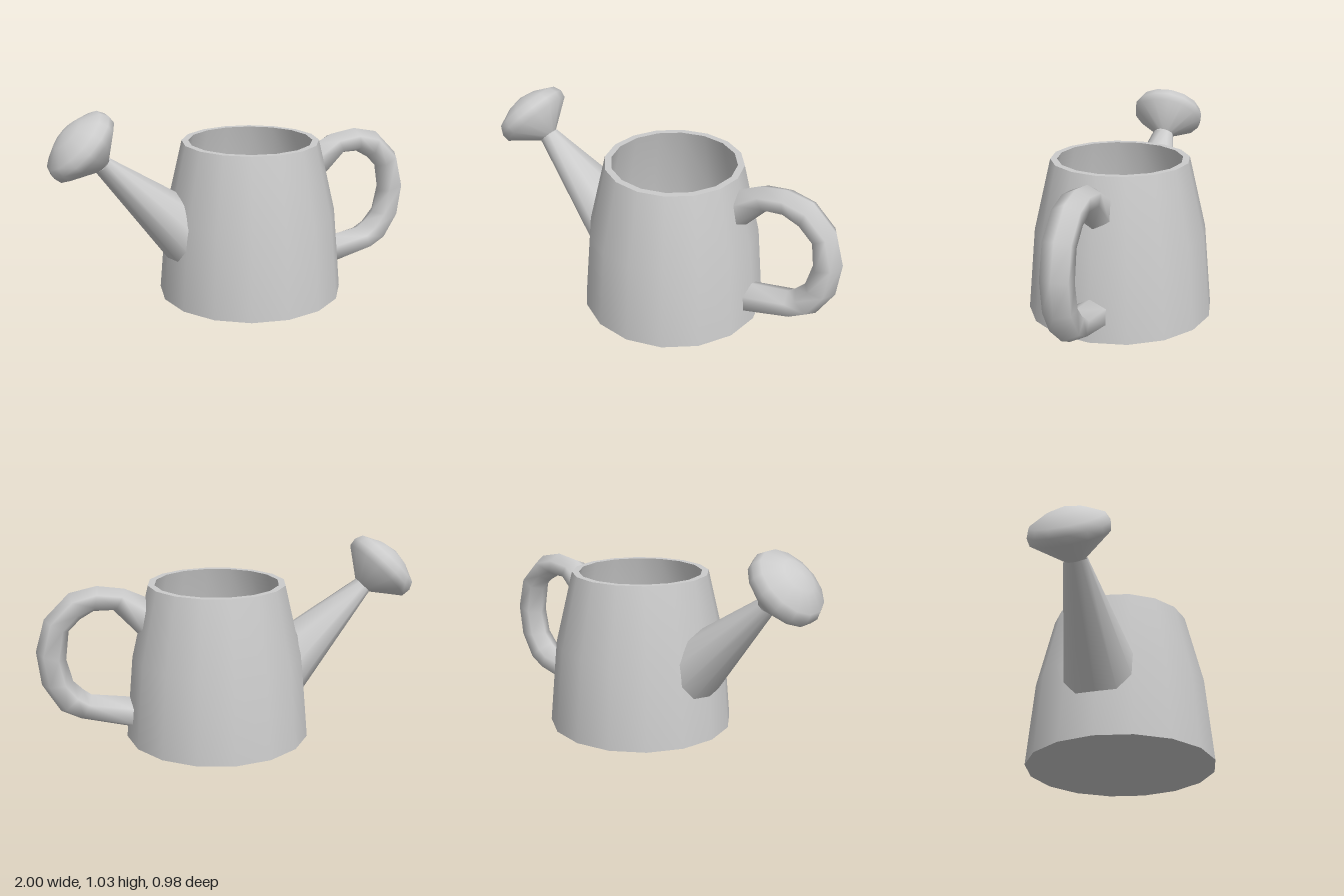
import * as THREE from 'three';
import { toCreasedNormals } from 'three/addons/utils/BufferGeometryUtils.js';

const material = new THREE.MeshStandardMaterial({ color: 0xcccccc, side: THREE.DoubleSide });

function part(name, geometry) {
  const mesh = new THREE.Mesh(geometry, material);
  mesh.name = name;
  return mesh;
}

function lathe(profile, sides) {
  return new THREE.LatheGeometry(profile.map(([r, y]) => new THREE.Vector2(r, y)), sides);
}

// Skin over elliptical sections, each given by its upper/outer and lower/inner
// point in the xy plane and its half width in z.
function loft(sections, sides, zSign) {
  const positions = [], index = [];
  sections.forEach(([ox, oy, ix, iy, halfWidth], i) => {
    for (let j = 0; j < sides; j++) {
      const a = (j / sides) * Math.PI * 2;
      const c = Math.cos(a) / 2;
      positions.push(
        (ox + ix) / 2 + (ox - ix) * c,
        (oy + iy) / 2 + (oy - iy) * c,
        zSign * halfWidth * Math.sin(a));
      if (i === sections.length - 1) continue;
      const p = i * sides + j, q = i * sides + (j + 1) % sides;
      index.push(p, q, q + sides, p, q + sides, p + sides);
    }
  });
  const geometry = new THREE.BufferGeometry();
  geometry.setAttribute('position', new THREE.Float32BufferAttribute(positions, 3));
  geometry.setIndex(index);
  geometry.computeVertexNormals();
  return geometry;
}

export function createModel() {
  const group = new THREE.Group();
  group.name = 'wateringCan';

  // Hollow tapering body with a closed floor and a thick rim
  const body = part('body', toCreasedNormals(lathe([
    [0, 0], [0.49, 0], [0.45, 0.44], [0.36, 0.82],
    [0.325, 0.82], [0.415, 0.44], [0.455, 0.04], [0, 0.04],
  ], 16), 0.7));
  body.position.x = 0.06;
  group.add(body);

  // Six-sided looped handle
  group.add(part('handle', loft([
    [0.43, 0.76, 0.47, 0.56, 0.092],
    [0.54, 0.81, 0.60, 0.70, 0.085],
    [0.68, 0.83, 0.70, 0.70, 0.08],
    [0.82, 0.80, 0.77, 0.66, 0.08],
    [0.95, 0.67, 0.83, 0.60, 0.08],
    [1.00, 0.50, 0.85, 0.45, 0.08],
    [0.98, 0.32, 0.82, 0.33, 0.08],
    [0.89, 0.17, 0.77, 0.28, 0.085],
    [0.79, 0.12, 0.73, 0.25, 0.09],
    [0.51, 0.05, 0.51, 0.22, 0.092],
  ], 6, 1)));

  // Spout narrowing to the neck
  group.add(part('spout', loft([
    [-0.35, 0.58, -0.35, 0.15, 0.187],
    [-0.70, 0.80, -0.77, 0.735, 0.06],
  ], 10, -1)));

  // Sprinkler head: flared back, thin rim and shallow domed face
  const head = part('sprinklerHead', toCreasedNormals(lathe([
    [0.05, 0], [0.197, 0.11], [0.203, 0.15], [0.185, 0.19], [0.09, 0.236], [0, 0.255],
  ], 14), 0.9));
  head.position.set(-0.735, 0.768, 0);
  head.rotation.z = Math.PI / 4;
  group.add(head);

  return group;
}
